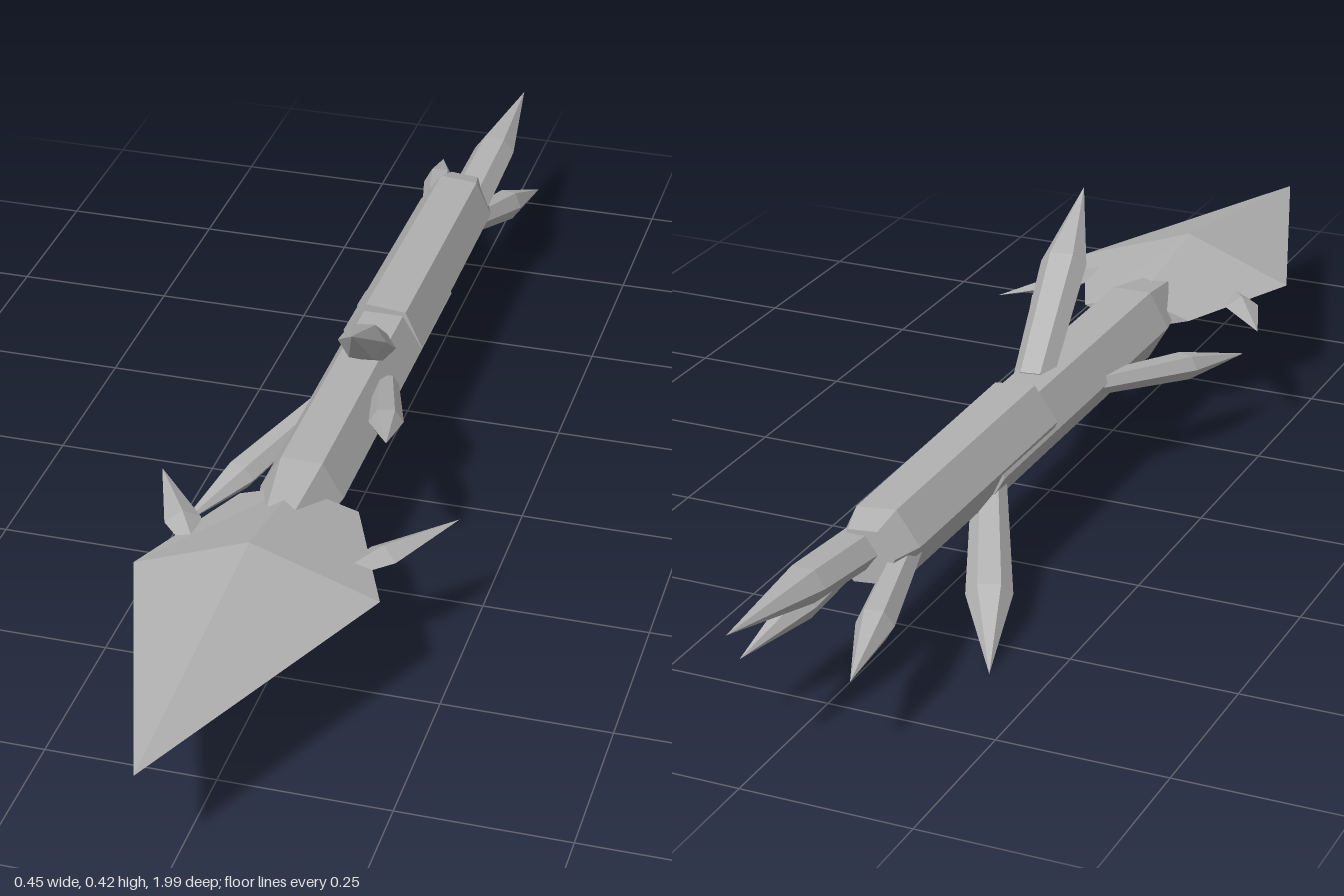
import * as THREE from 'three';

const stone = new THREE.MeshStandardMaterial({ color: 0xb0b0b0, flatShading: true });
stone.name = 'grey stone';

// Faceted body of revolution running from one point to another; profile = [radius, fraction of length]
function faceted(name, from, to, profile, sides, flat = 1, turn = 0) {
  const a = new THREE.Vector3(...from), b = new THREE.Vector3(...to);
  const dir = b.clone().sub(a), length = dir.length();
  const points = profile.map(([r, t]) => new THREE.Vector2(r, t * length));
  const geometry = new THREE.LatheGeometry(points, sides).toNonIndexed();
  geometry.rotateY(turn);
  geometry.scale(1, 1, flat);
  geometry.computeVertexNormals();
  const mesh = new THREE.Mesh(geometry, stone);
  mesh.name = name;
  mesh.position.copy(a);
  // local y follows the axis, local x stays level
  const y = dir.normalize();
  const x = new THREE.Vector3(0, 1, 0).cross(y).normalize();
  const z = x.clone().cross(y);
  mesh.quaternion.setFromRotationMatrix(new THREE.Matrix4().makeBasis(x, y, z));
  return mesh;
}

const crystal = (name, from, to, r, shoulder = 0.6, sides = 6, flat = 1, base = 0.75) =>
  faceted(name, from, to, [[0, 0], [r * base, 0], [r, shoulder], [0, 1]], sides, flat, Math.PI / 2);

// Skin over matching rings, listed from back to front
function loft(name, rings) {
  const n = rings[0].length, pos = [];
  for (let i = 0; i < rings.length - 1; i++) {
    for (let j = 0; j < n; j++) {
      const k = (j + 1) % n;
      const [a, b, c, d] = [rings[i][j], rings[i][k], rings[i + 1][k], rings[i + 1][j]];
      pos.push(...a, ...b, ...c, ...a, ...c, ...d);
    }
  }
  const geometry = new THREE.BufferGeometry();
  geometry.setAttribute('position', new THREE.Float32BufferAttribute(pos, 3));
  geometry.computeVertexNormals();
  const mesh = new THREE.Mesh(geometry, stone);
  mesh.name = name;
  return mesh;
}

export function createModel() {
  const group = new THREE.Group();
  group.name = 'crystalSpear';

  // Spear head: diamond sections, counterclockwise seen from the front
  const point = (x, y, z) => Array(4).fill([x, y, z]);
  group.add(loft('spearHead', [
    point(-0.01, 0.18, 0.32),
    [[0.08, 0.18, 0.32], [-0.015, 0.207, 0.32], [-0.1, 0.18, 0.32], [-0.005, 0.15, 0.32]],
    [[0.17, 0.18, 0.53], [-0.018, 0.245, 0.53], [-0.19, 0.18, 0.53], [-0.003, 0.11, 0.53]],
    point(-0.03, 0.18, 0.99),
  ]));

  // Barbs behind the head
  group.add(crystal('leftBarb', [0.10, 0.18, 0.48], [0.225, 0.18, 0.30], 0.027, 0.35, 4, 0.6, 0.4));
  group.add(crystal('rightBarb', [-0.12, 0.178, 0.47], [-0.225, 0.19, 0.30], 0.027, 0.35, 4, 0.6, 0.4));

  // Shaft: two overlapping six-sided lengths
  group.add(faceted('frontShaft', [-0.015, 0.177, -0.34], [-0.015, 0.177, 0.39],
    [[0, 0], [0.063, 0], [0.063, 0.86], [0.042, 1], [0, 1]], 6, 1, Math.PI / 2));
  group.add(faceted('rearShaft', [-0.016, 0.186, -0.155], [-0.016, 0.184, -0.66],
    [[0, 0], [0.064, 0], [0.061, 0.91], [0.045, 1], [0, 1]], 6, 1, Math.PI / 2 + 0.09));

  // Crystals at the butt end
  group.add(crystal('buttPoint', [0.0, 0.185, -0.6], [0.01, 0.22, -1.0], 0.034, 0.5, 6, 0.8, 1.1));
  group.add(crystal('buttCrystalLeft', [0.012, 0.175, -0.58], [0.072, 0.105, -0.86], 0.026, 0.55));
  group.add(crystal('buttCrystalRight', [-0.045, 0.175, -0.58], [-0.108, 0.125, -0.89], 0.027, 0.6));

  // Crystals growing from the shaft
  group.add(crystal('topCrystal', [-0.005, 0.215, -0.08], [0.044, 0.416, 0.23], 0.036, 0.6, 6, 0.8, 0.85));
  group.add(crystal('bottomCrystal', [-0.035, 0.15, -0.3], [-0.165, 0.0, -0.585], 0.034, 0.6, 6, 0.8));
  group.add(crystal('leftCrystal', [0.03, 0.195, -0.01], [0.108, 0.274, 0.275], 0.026, 0.65, 6, 0.8));
  group.add(crystal('rightCrystal', [-0.055, 0.175, 0.03], [-0.184, 0.127, 0.35], 0.027, 0.6, 6, 0.8));

  return group;
}
